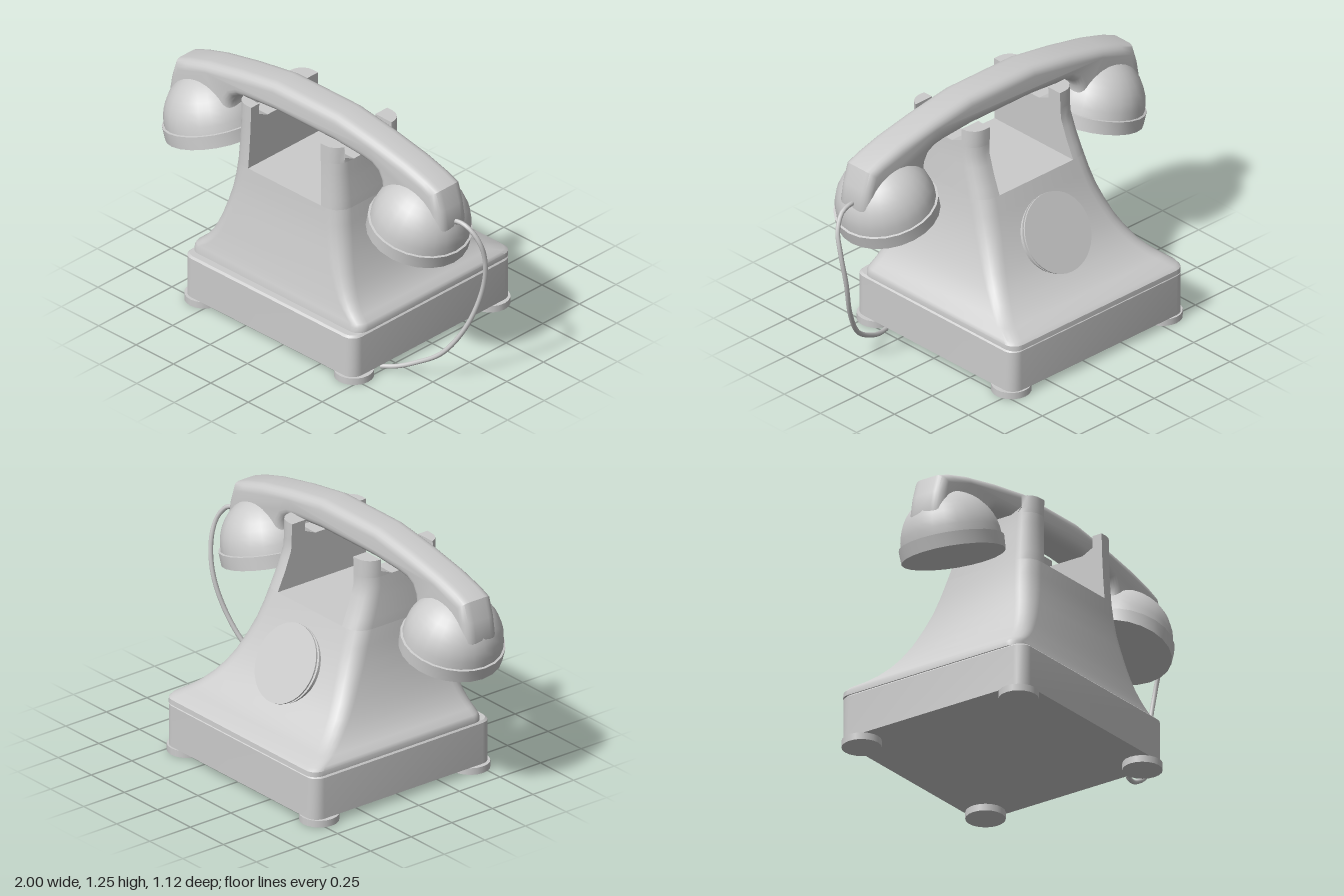
import * as THREE from 'three';
import { toCreasedNormals } from 'three/addons/utils/BufferGeometryUtils.js';

const material = new THREE.MeshStandardMaterial({ color: 0xcccccc, side: THREE.DoubleSide });
const CX = -0.067; // centre line of the telephone (the cord widens the model on one side)
const HZ = 0.205; // depth of the handset axis

function add(parent, name, geometry, x = 0, y = 0, z = 0) {
  const mesh = new THREE.Mesh(geometry, material);
  mesh.name = name;
  mesh.position.set(x, y, z);
  parent.add(mesh);
  return mesh;
}

// Horizontal rounded rectangle, optionally clamped to a box to cut away a part of it
function ring([y, hw, front, back, r], clip = {}) {
  const { x0 = -9, x1 = 9, z0 = -9, z1 = 9 } = clip;
  const corners = [[hw - r, front - r], [r - hw, front - r], [r - hw, back + r], [hw - r, back + r]];
  const points = [];
  corners.forEach(([cx, cz], k) => {
    for (let i = 0; i <= 5; i++) {
      const a = (k + i / 5) * Math.PI / 2;
      points.push([
        THREE.MathUtils.clamp(cx + r * Math.cos(a), x0, x1), y,
        THREE.MathUtils.clamp(cz + r * Math.sin(a), z0, z1)]);
    }
  });
  return points;
}

// Closed solid through a stack of rings
function loft(rings, crease = 0.6) {
  const n = rings[0].length, last = (rings.length - 1) * n;
  const points = rings.flat(), index = [];
  for (let i = 0; i < rings.length - 1; i++) {
    for (let j = 0; j < n; j++) {
      const a = i * n + j, b = i * n + (j + 1) % n;
      index.push(a, a + n, b, b, a + n, b + n);
    }
  }
  for (let j = 1; j < n - 1; j++) {
    index.push(0, j, j + 1, last, last + j + 1, last + j);
  }
  const g = new THREE.BufferGeometry();
  g.setAttribute('position', new THREE.Float32BufferAttribute(points.flat(), 3));
  g.setIndex(index);
  return toCreasedNormals(g, crease);
}

// Body sections: y, half width, front z, back z, corner radius
const SECTIONS = [
  [0.26, 0.568, 0.5, -0.555, 0.06],
  [0.285, 0.568, 0.497, -0.553, 0.06],
  [0.3, 0.56, 0.493, -0.535, 0.06],
  [0.325, 0.527, 0.489, -0.457, 0.06],
  [0.35, 0.503, 0.486, -0.412, 0.065],
  [0.39, 0.474, 0.48, -0.36, 0.07],
  [0.44, 0.449, 0.473, -0.31, 0.075],
  [0.5, 0.425, 0.465, -0.265, 0.08],
  [0.58, 0.401, 0.454, -0.22, 0.085],
  [0.66, 0.382, 0.443, -0.18, 0.09],
  [0.74, 0.369, 0.435, -0.146, 0.09],
  [0.82, 0.36, 0.429, -0.115, 0.09],
  [0.92, 0.352, 0.424, -0.072, 0.085],
  [1.02, 0.345, 0.421, -0.038, 0.08],
  [1.16, 0.34, 0.42, -0.036, 0.075],
];

function section(y) {
  const i = Math.max(1, SECTIONS.findIndex((s) => s[0] >= y));
  const a = SECTIONS[i - 1], b = SECTIONS[i];
  return a.map((v, k) => THREE.MathUtils.lerp(v, b[k], (y - a[0]) / (b[0] - a[0])));
}

function buildBody(parent) {
  const body = new THREE.Group();
  body.name = 'body';
  body.position.x = CX;
  parent.add(body);

  add(body, 'base', loft([
    [0.035, 0.572, 0.545, -0.55, 0.06],
    [0.25, 0.572, 0.545, -0.55, 0.06],
    [0.26, 0.562, 0.535, -0.54, 0.055],
  ].map((s) => ring(s))));
  add(body, 'housing', loft(SECTIONS.filter((s) => s[0] <= 0.82).map((s) => ring(s))));

  for (const side of [-1, 1]) {
    for (const z of [-0.465, 0.465]) {
      add(body, 'foot', new THREE.CylinderGeometry(0.097, 0.097, 0.035, 20), side * 0.5, 0.0175, z);
    }
    // Cradle wall and its two prongs, cut out of the continued housing sections
    const cut = (y, z0, z1) => {
      const inner = 0.243 - (y - 0.82) * 0.035;
      return ring(section(y), side > 0 ? { x0: inner, z0, z1 } : { x1: -inner, z0, z1 });
    };
    add(body, 'cradleWall', loft([0.82, 0.87, 0.92, 0.97, 1.02, 1.072].map((y) => cut(y))));
    add(body, 'frontProng', loft([[1.072, 0.305], [1.1, 0.365], [1.16, 0.365]].map(([y, z]) => cut(y, z))));
    add(body, 'rearProng', loft([[1.072, 0.11], [1.1, 0.045], [1.16, 0.045]].map(([y, z]) => cut(y, -9, z))));
  }

  // Dial: thin plate over a backing disc, lying on the rear slope
  const dial = new THREE.Group();
  dial.name = 'dial';
  dial.position.set(0, 0.578, -0.262);
  dial.quaternion.setFromUnitVectors(new THREE.Vector3(0, 1, 0), new THREE.Vector3(0, 0.49, -0.872).normalize());
  body.add(dial);
  add(dial, 'dialPlate', new THREE.CylinderGeometry(0.2, 0.2, 0.008, 40));
  add(dial, 'dialBacking', new THREE.CylinderGeometry(0.197, 0.197, 0.035, 40), 0, -0.037, 0);
}

function buildHandset(parent) {
  const handset = new THREE.Group();
  handset.name = 'handset';
  handset.position.set(CX, 0, HZ);
  parent.add(handset);

  // Grip outline: arched top, necks curling down into the cups
  const half = [
    [0.21, 1.247], [0.45, 1.21], [0.667, 1.166], [0.8, 1.127], [0.875, 1.096], [0.905, 1.0],
    [0.922, 0.9], [0.9, 0.83], [0.6, 0.85], [0.475, 0.9], [0.497, 0.935], [0.506, 0.975],
    [0.5, 1.015], [0.48, 1.05], [0.445, 1.07], [0.39, 1.08], [0.2, 1.095],
  ];
  const outline = [...half, ...half.map(([x, y]) => [-x, y]).reverse()].map(([x, y]) => new THREE.Vector2(x, y));
  const grip = new THREE.ExtrudeGeometry(new THREE.Shape(outline), {
    depth: 0.09, bevelThickness: 0.05, bevelSize: 0.045, bevelOffset: -0.045, bevelSegments: 5,
  });
  grip.translate(0, 0, -0.045);
  add(handset, 'grip', toCreasedNormals(grip, 0.7));

  // Domed cups with a rim band and a flat face
  const profile = [[0, 0], [0.253, 0], [0.256, 0.068], [0.245, 0.07]];
  for (let i = 1; i <= 10; i++) {
    const a = i / 10 * Math.PI / 2;
    profile.push([0.245 * Math.cos(a), 0.07 + 0.25 * Math.sin(a)]);
  }
  const cup = toCreasedNormals(new THREE.LatheGeometry(profile.map(([x, y]) => new THREE.Vector2(Math.max(x, 0), y)), 24), 0.6);
  for (const side of [-1, 1]) {
    add(handset, side > 0 ? 'leftCup' : 'rightCup', cup, side * 0.671, 0.757, 0).rotation.z = -side * 0.264;
  }
}

function buildCord(parent) {
  const path = [
    [0.83, 0.915, 0.2], [0.87, 0.922, 0.193], [0.93, 0.905, 0.185], [0.98, 0.834, 0.163], [0.988, 0.72, 0.135],
    [0.96, 0.55, 0.126], [0.893, 0.335, 0.168], [0.786, 0.166, 0.225], [0.652, 0.075, 0.27],
    [0.56, 0.033, 0.31], [0.49, 0.017, 0.34],
  ].map((p) => new THREE.Vector3(...p));
  add(parent, 'cord', new THREE.TubeGeometry(new THREE.CatmullRomCurve3(path), 48, 0.012, 8));
}

export function createModel() {
  const model = new THREE.Group();
  model.name = 'telephone';
  buildBody(model);
  buildHandset(model);
  buildCord(model);
  return model;
}
